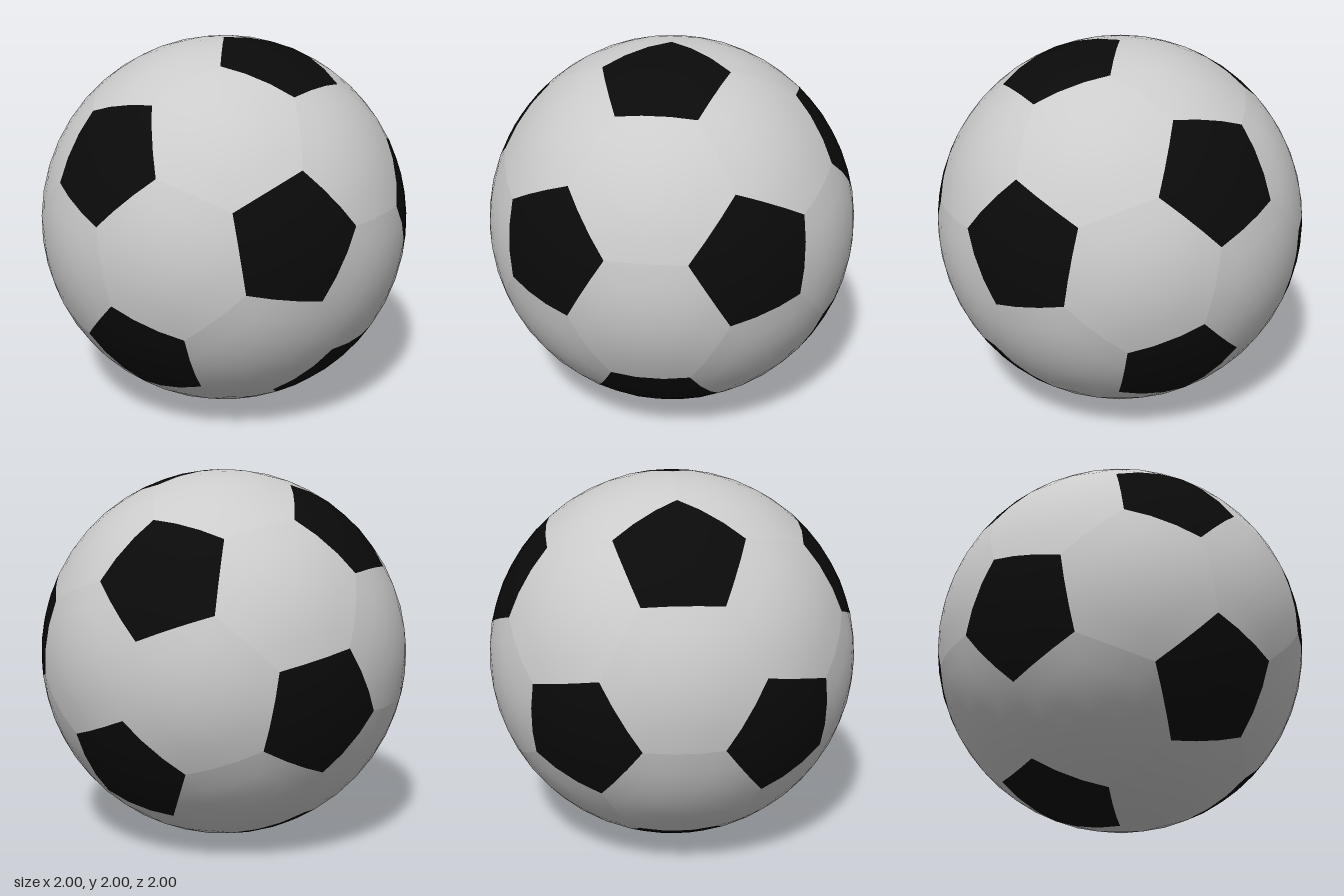
import * as THREE from 'three';
import { mergeVertices } from 'three/addons/utils/BufferGeometryUtils.js';

const DIVISIONS = 3; // subdivisions along each panel edge

// Twelve pentagon directions: an icosahedron turned so one panel corner points straight up.
function pentagonCentres() {
  const cornerAngle = 0.35049, y = Math.cos(cornerAngle), edge = 0.40634;
  const x = y * (1 - Math.cos(edge)) / Math.sin(edge);
  const w = new THREE.Vector3(x, y, Math.sqrt(1 - x * x - y * y));
  const u = new THREE.Vector3(0, 1, 0).addScaledVector(w, -y).normalize();
  const v = w.clone().cross(u);
  const centres = [w.clone()];
  for (let k = 0; k < 5; k++) {
    const a = k * Math.PI * 2 / 5;
    centres.push(w.clone().addScaledVector(u, 2 * Math.cos(a)).addScaledVector(v, 2 * Math.sin(a)).normalize());
  }
  return [...centres, ...centres.map(c => c.clone().negate())];
}

// Curved panel: a fan of subdivided triangles pushed out to the unit sphere.
function panelGeometry(centre, corners) {
  const ref = corners[0].clone().addScaledVector(centre, -corners[0].dot(centre)).normalize();
  const side = centre.clone().cross(ref);
  const angle = p => Math.atan2(p.dot(side), p.dot(ref));
  const ring = [...corners].sort((a, b) => angle(a) - angle(b));
  const points = [];
  ring.forEach((a, k) => {
    const b = ring[(k + 1) % ring.length];
    const at = (i, j) => centre.clone().multiplyScalar(DIVISIONS - i - j)
      .addScaledVector(a, i).addScaledVector(b, j).normalize();
    for (let i = 0; i < DIVISIONS; i++) {
      for (let j = 0; i + j < DIVISIONS; j++) {
        points.push(at(i, j), at(i + 1, j), at(i, j + 1));
        if (i + j < DIVISIONS - 1) points.push(at(i + 1, j), at(i + 1, j + 1), at(i, j + 1));
      }
    }
  });
  const geometry = mergeVertices(new THREE.BufferGeometry().setFromPoints(points), 1e-4);
  geometry.computeVertexNormals();
  return geometry;
}

export function createModel() {
  const ball = new THREE.Group();
  ball.name = 'ball';
  const grey = new THREE.MeshStandardMaterial({ color: 0xcccccc });
  const black = new THREE.MeshStandardMaterial({ color: 0x0a0a0a });
  const addPanel = (name, centre, corners, material) => {
    const mesh = new THREE.Mesh(panelGeometry(centre, corners), material);
    mesh.name = name;
    mesh.position.y = 1;
    ball.add(mesh);
  };

  const pents = pentagonCentres();
  const adjacent = (a, b) => a !== b && a.dot(b) > 0.4;
  const corner = (a, b) => a.clone().multiplyScalar(2).add(b).normalize();

  // Black pentagons
  pents.forEach(p => addPanel('blackPentagon', p,
    pents.filter(q => adjacent(p, q)).map(q => corner(p, q)), black));

  // Light hexagons, one between every three neighbouring pentagons
  for (let i = 0; i < 12; i++) for (let j = i + 1; j < 12; j++) for (let k = j + 1; k < 12; k++) {
    const [a, b, c] = [pents[i], pents[j], pents[k]];
    if (!adjacent(a, b) || !adjacent(b, c) || !adjacent(a, c)) continue;
    const centre = a.clone().add(b).add(c).normalize();
    addPanel('lightHexagon', centre,
      [corner(a, b), corner(b, a), corner(b, c), corner(c, b), corner(c, a), corner(a, c)], grey);
  }
  return ball;
}
